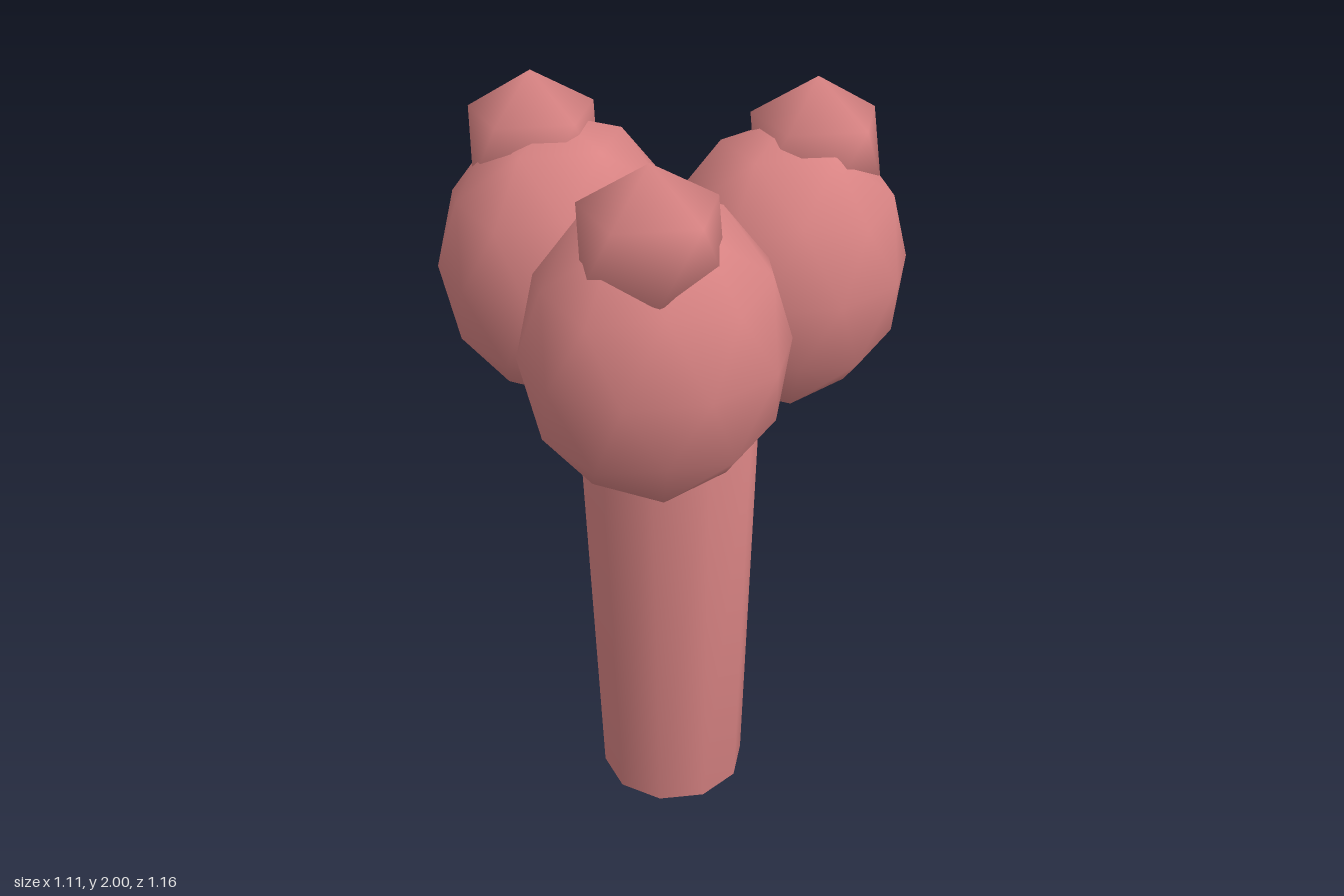
import * as THREE from 'three';
import { mergeVertices } from 'three/addons/utils/BufferGeometryUtils.js';

const AXIS_X = -0.082; // the stem stands slightly off centre

// Smooth low-poly ball with a vertex at each pole, stretched to the given radii
function ball(detail, rx, ry, rz) {
  const g = new THREE.IcosahedronGeometry(1, detail);
  g.rotateZ(-Math.atan(2 / (1 + Math.sqrt(5))));
  g.setAttribute('normal', g.attributes.position.clone());
  return g.scale(rx, ry, rz);
}

// Tapered ten-sided stem, shaded smoothly over its rims
function stemGeometry() {
  const g = new THREE.CylinderGeometry(0.24, 0.202, 1.23, 10);
  g.deleteAttribute('uv');
  g.deleteAttribute('normal');
  const merged = mergeVertices(g, 1e-4);
  merged.computeVertexNormals();
  return merged;
}

export function createModel() {
  const model = new THREE.Group();
  model.name = 'budCluster';
  const pink = new THREE.MeshStandardMaterial({ color: 0xd88383 });
  pink.name = 'dustyPink';

  const add = (name, geometry, x, y, z) => {
    const mesh = new THREE.Mesh(geometry, pink);
    mesh.name = name;
    mesh.position.set(x, y, z);
    model.add(mesh);
  };

  add('stem', stemGeometry(), AXIS_X, 0.615, 0);

  // Three lobes around the stem, each with a small bud leaning outward on top
  const lobe = ball(1, 0.325, 0.38, 0.297);
  const bud = ball(0, 0.185, 0.181, 0.185);
  for (let i = 0; i < 3; i++) {
    const a = (i * Math.PI * 2) / 3;
    const c = Math.cos(a), s = Math.sin(a);
    add('lobe' + (i + 1), lobe, AXIS_X + 0.328 * c, 1.52, 0.328 * s);
    add('bud' + (i + 1), bud, AXIS_X + 0.408 * c, 1.819, 0.408 * s);
  }
  return model;
}
